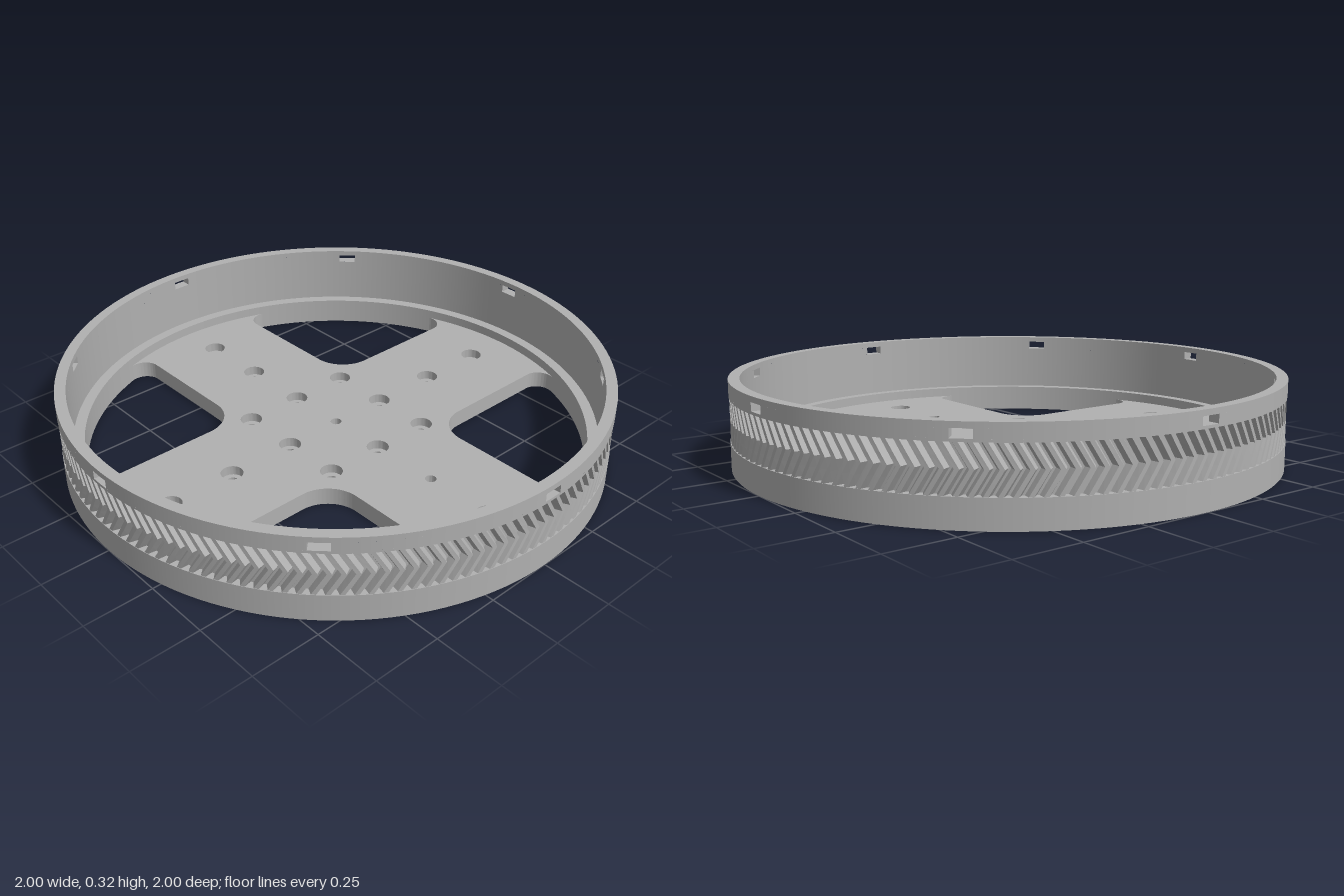
import * as THREE from 'three';
import { mergeGeometries, toCreasedNormals } from 'three/addons/utils/BufferGeometryUtils.js';

const HALF = Math.PI / 2, TAU = Math.PI * 2;
const OUT = 1, IN = 0.96, FLOOR_R = 0.92, ROOT = 0.97; // radii
const TOP = 0.32, GROOVE_LO = 0.1, GROOVE_HI = 0.26, SLOT_LO = 0.27, SLOT_HI = 0.3;
const SLOTS = 8, SLOT_ANGLE = 0.035; // half-angle of a slot
const TEETH = 144;

// Revolved profile with a sharp edge at every point
function revolve(points, segments = 144, start = 0, length = TAU) {
  const bands = [];
  for (let i = 0; i + 1 < points.length; i++) {
    const pair = [points[i], points[i + 1]].map(([r, y]) => new THREE.Vector2(r, y));
    bands.push(new THREE.LatheGeometry(pair, segments, start, length));
  }
  return mergeGeometries(bands);
}

// Cross-shaped floor whose arms flare into the rim
function crossShape() {
  const shape = new THREE.Shape();
  const w = 0.26, ri = 0.13, ro = 0.06;
  const cx = Math.sqrt((FLOOR_R - ro) ** 2 - (w + ro) ** 2), cy = w + ro;
  const a = Math.atan2(cy, cx);
  for (let q = 0; q < 4; q++) {
    const t = q * HALF, c = Math.cos(t), s = Math.sin(t);
    const arc = (x, y, r, from, to, clockwise) =>
      shape.absarc(x * c - y * s, x * s + y * c, r, from + t, to + t, clockwise);
    arc(0, 0, FLOOR_R, -a, a, false);
    arc(cx, cy, ro, a, -HALF, true);
    arc(w + ri, w + ri, ri, -HALF, -Math.PI, true);
    arc(cy, cx, ro, Math.PI, HALF - a, true);
  }
  return shape;
}

// Bolt holes: x, y, and whether they are counterbored
function boltHoles() {
  const holes = [];
  for (const i of [-1, 0, 1]) for (const j of [-1, 0, 1]) {
    holes.push([i * 0.225, j * 0.225, i !== 0 || j !== 0]);
  }
  for (const d of [-0.75, -0.49, 0.49, 0.75]) {
    holes.push([d, 0, d !== 0.49], [0, d, true]);
  }
  return holes;
}

function floorLayer(y, height, boreRadius) {
  const shape = crossShape();
  for (const [x, z, bored] of boltHoles()) {
    const hole = new THREE.Path();
    hole.absarc(x, z, bored ? boreRadius : 0.02, 0, TAU, true);
    shape.holes.push(hole);
  }
  const g = new THREE.ExtrudeGeometry(shape, { depth: height, bevelEnabled: false, curveSegments: 24 });
  g.rotateX(-HALF).translate(0, y, 0);
  return toCreasedNormals(g, 0.5);
}

// Herringbone gear band: trapezoid teeth swept to the middle and back
function herringbone() {
  const tip = 0.998, pitch = TAU / TEETH;
  const profile = [[0, ROOT + 0.002], [0.2, ROOT + 0.002], [0.42, tip], [0.78, tip]];
  const rows = [[GROOVE_LO, 0], [0.14, 0.024], [0.18, 0.048], [0.22, 0.024], [GROOVE_HI, 0]];
  const n = TEETH * profile.length;
  const positions = [], index = [];
  rows.forEach(([y, sweep], row) => {
    for (let i = 0; i < n; i++) {
      const [offset, r] = profile[i % profile.length];
      const a = (Math.floor(i / profile.length) + offset) * pitch + sweep;
      positions.push(r * Math.sin(a), y, r * Math.cos(a));
      if (row === rows.length - 1) continue;
      const p = row * n + i, q = row * n + (i + 1) % n;
      index.push(p, q, p + n, q, q + n, p + n);
    }
  });
  const g = new THREE.BufferGeometry();
  g.setAttribute('position', new THREE.Float32BufferAttribute(positions, 3));
  g.setIndex(index);
  const flat = g.toNonIndexed();
  flat.computeVertexNormals();
  return flat;
}

// Wall pieces between the slots, plus the four faces inside each slot
function slotBand() {
  const parts = [];
  const step = TAU / SLOTS;
  for (let k = 0; k < SLOTS; k++) {
    const a = k * step, gapStart = a + SLOT_ANGLE, gap = step - 2 * SLOT_ANGLE;
    parts.push(
      revolve([[OUT, SLOT_LO], [OUT, SLOT_HI]], 16, gapStart, gap),
      revolve([[IN, SLOT_HI], [IN, SLOT_LO]], 16, gapStart, gap),
      revolve([[OUT, SLOT_LO], [IN, SLOT_LO]], 2, a - SLOT_ANGLE, 2 * SLOT_ANGLE),
      revolve([[IN, SLOT_HI], [OUT, SLOT_HI]], 2, a - SLOT_ANGLE, 2 * SLOT_ANGLE));
    for (const side of [-1, 1]) {
      parts.push(new THREE.PlaneGeometry(OUT - IN, SLOT_HI - SLOT_LO)
        .rotateY(-side * HALF)
        .translate(0, (SLOT_LO + SLOT_HI) / 2, (OUT + IN) / 2)
        .rotateY(a + side * SLOT_ANGLE));
    }
  }
  return mergeGeometries(parts);
}

export function createModel() {
  const group = new THREE.Group();
  group.name = 'gearWheel';
  const grey = new THREE.MeshStandardMaterial({ color: 0xb0b0b0 });
  grey.name = 'plainGrey';
  const add = (name, geometry) => {
    const mesh = new THREE.Mesh(geometry, grey);
    mesh.name = name;
    group.add(mesh);
  };

  // Rim with inner ledge and outer groove
  add('rim', revolve([
    [IN, SLOT_LO], [IN, GROOVE_LO], [FLOOR_R, GROOVE_LO], [FLOOR_R, 0], [OUT, 0],
    [OUT, GROOVE_LO], [ROOT, GROOVE_LO], [ROOT, GROOVE_HI], [OUT, GROOVE_HI], [OUT, SLOT_LO]]));
  add('slottedWall', slotBand());
  add('rimTop', revolve([[OUT, SLOT_HI], [OUT, TOP], [IN, TOP], [IN, SLOT_HI]]));
  add('herringboneTeeth', herringbone());

  // Floor in two layers so the bolt holes are counterbored
  add('floorLower', floorLayer(0, 0.03, 0.02));
  add('floorUpper', floorLayer(0.03, 0.035, 0.04));
  return group;
}
